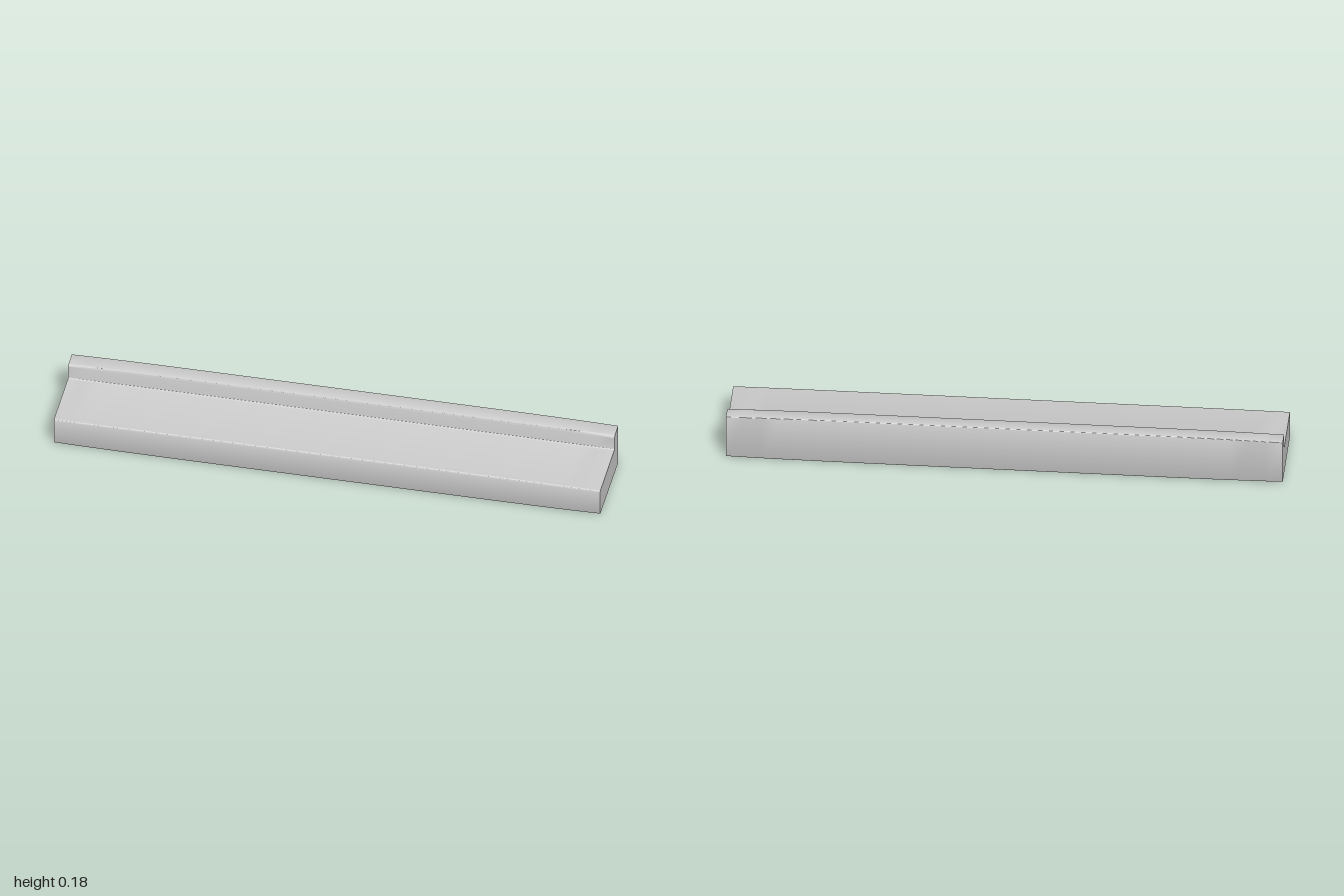
import * as THREE from 'three';
import { toCreasedNormals } from 'three/addons/utils/BufferGeometryUtils.js';

// Closed outline with every corner rounded by its own radius: [x, y, r]
function roundedOutline(corners) {
  const shape = new THREE.Shape();
  corners.forEach(([x, y, r], i) => {
    const p = new THREE.Vector2(x, y);
    const toward = ([nx, ny]) =>
      new THREE.Vector2(nx, ny).sub(p).setLength(r).add(p);
    const a = toward(corners.at(i - 1));
    const b = toward(corners[(i + 1) % corners.length]);
    if (i === 0) shape.moveTo(a.x, a.y);
    else shape.lineTo(a.x, a.y);
    shape.quadraticCurveTo(x, y, b.x, b.y);
  });
  shape.closePath();
  return shape;
}

export function createModel() {
  const group = new THREE.Group();
  const material = new THREE.MeshStandardMaterial({ color: 0xcccccc });

  // Stepped side profile: wide low tread in front, raised lip at the back
  const profile = roundedOutline([
    [-0.155, 0.0, 0.004],
    [0.154, 0.0, 0.004],
    [0.154, 0.176, 0.004],
    [0.091, 0.173, 0.009],
    [0.091, 0.111, 0.007],
    [-0.155, 0.108, 0.006],
  ]);
  let geometry = new THREE.ExtrudeGeometry(profile, {
    depth: 2, steps: 32, curveSegments: 5, bevelEnabled: false,
  });
  geometry.rotateY(Math.PI / 2).translate(-1, 0, 0);

  // Top and bottom draw in very slightly towards the two ends
  const pos = geometry.attributes.position;
  for (let i = 0; i < pos.count; i++) {
    const end = Math.pow(Math.abs(pos.getX(i)), 6);
    const y = pos.getY(i);
    pos.setY(i, y + end * (0.004 - 0.05 * y));
  }
  geometry = toCreasedNormals(geometry, 0.7);

  const ledge = new THREE.Mesh(geometry, material);
  ledge.name = 'steppedLedge';
  group.add(ledge);
  return group;
}
